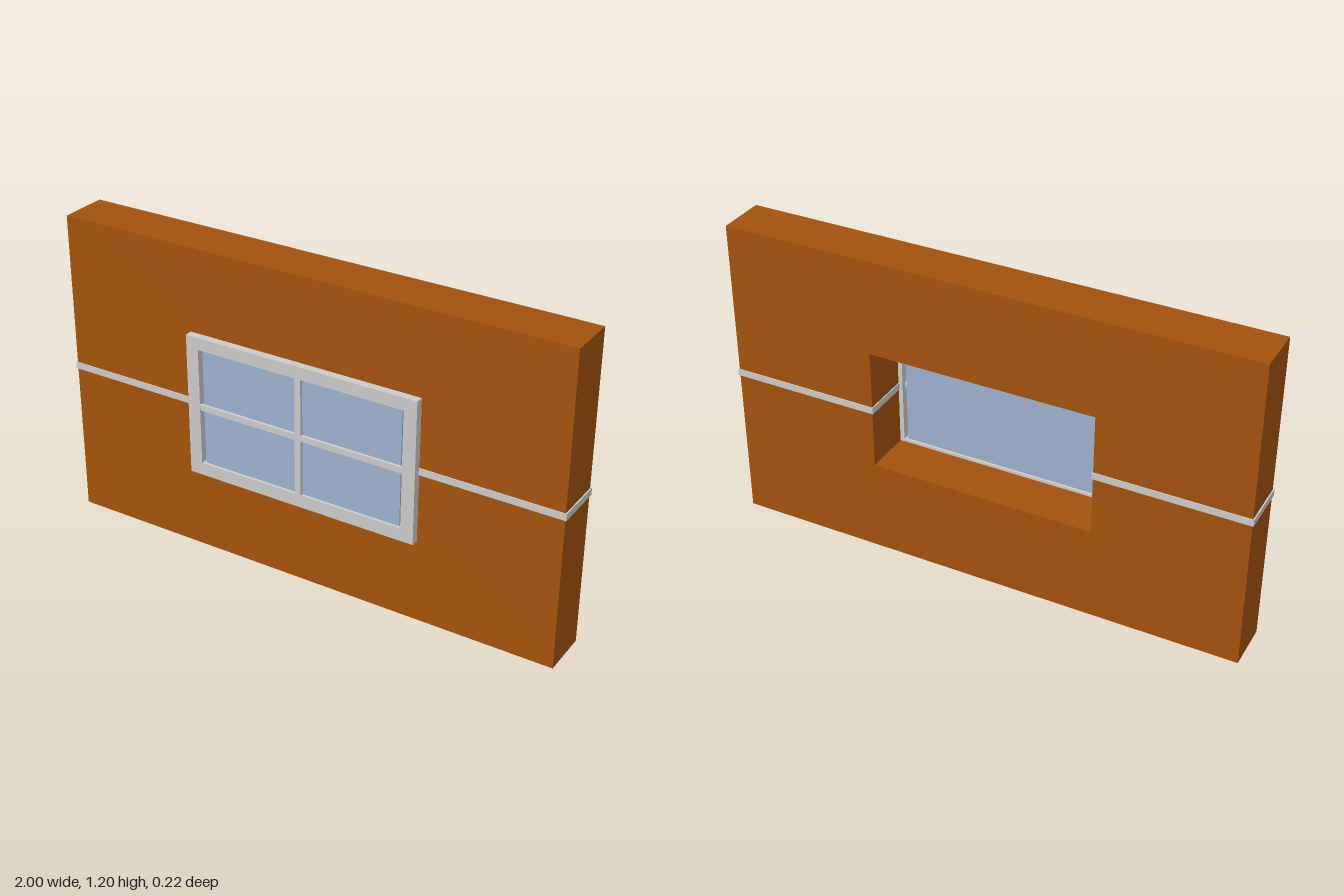
import * as THREE from 'three';

const orange = new THREE.MeshStandardMaterial({ name: 'orange wall', color: 0xa3520c });
const grey = new THREE.MeshStandardMaterial({ name: 'light grey trim', color: 0xcacaca });
const blue = new THREE.MeshStandardMaterial({ name: 'blue glass', color: 0x9cb1cd });

// Rectangular path from its edges
function rect(Path, x0, x1, y0, y1) {
  const p = new Path();
  p.moveTo(x0, y0);
  p.lineTo(x1, y0);
  p.lineTo(x1, y1);
  p.lineTo(x0, y1);
  p.closePath();
  return p;
}

// Slab between z0 and z1 with a rectangular opening
function slabWithOpening(name, outer, inner, z0, z1, material) {
  const shape = rect(THREE.Shape, ...outer);
  shape.holes.push(rect(THREE.Path, ...inner));
  const geometry = new THREE.ExtrudeGeometry(shape, { depth: z1 - z0, bevelEnabled: false });
  geometry.translate(0, 0, z0);
  const mesh = new THREE.Mesh(geometry, material);
  mesh.name = name;
  return mesh;
}

// Box given by its limits on each axis
function box(name, x0, x1, y0, y1, z0, z1, material) {
  const mesh = new THREE.Mesh(new THREE.BoxGeometry(x1 - x0, y1 - y0, z1 - z0), material);
  mesh.position.set((x0 + x1) / 2, (y0 + y1) / 2, (z0 + z1) / 2);
  mesh.name = name;
  return mesh;
}

export function createModel() {
  const model = new THREE.Group();
  model.name = 'wallWithWindow';

  // Wall with a deep window opening
  model.add(slabWithOpening('wall', [-0.995, 0.995, 0, 1.195], [-0.43, 0.43, 0.362, 0.832], -0.105, 0.08, orange));

  // Trim band wrapping each half of the wall, ending inside the opening
  for (const side of [-1, 1]) {
    const ends = [side * 0.426, side * 1].sort((a, b) => a - b);
    model.add(box(side > 0 ? 'leftBand' : 'rightBand', ...ends, 0.586, 0.612, -0.109, 0.084, grey));
  }

  // Window: frame, glass pane and crossed glazing bars
  const windowUnit = new THREE.Group();
  windowUnit.name = 'window';
  windowUnit.add(
    slabWithOpening('windowFrame', [-0.463, 0.463, 0.323, 0.875], [-0.413, 0.413, 0.372, 0.828], 0.08, 0.11, grey),
    box('glass', -0.403, 0.403, 0.372, 0.828, 0.09, 0.098, blue),
    box('verticalBar', -0.012, 0.012, 0.372, 0.828, 0.098, 0.11, grey),
    box('horizontalBar', -0.413, 0.413, 0.588, 0.611, 0.098, 0.109, grey),
  );
  model.add(windowUnit);
  return model;
}
